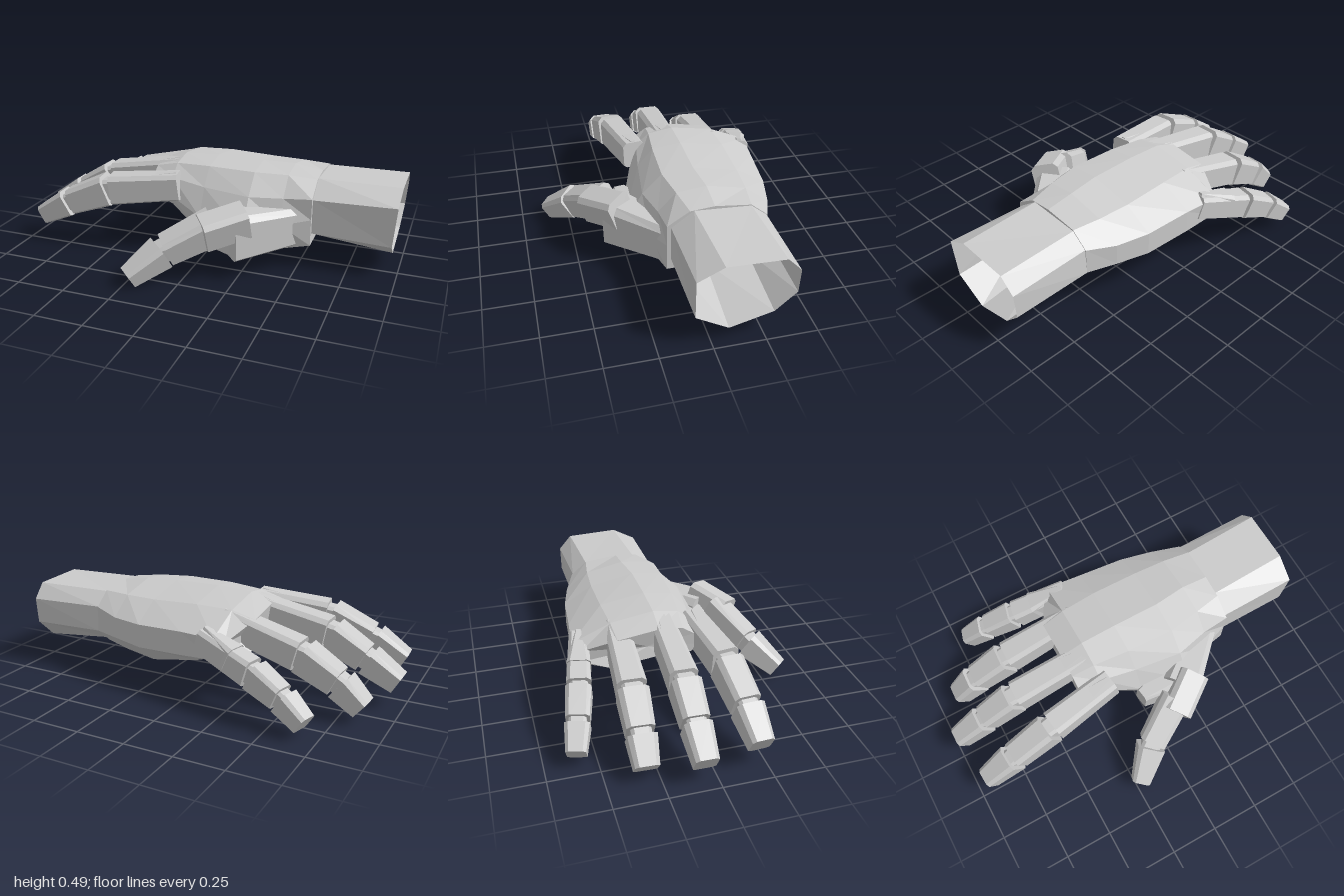
import * as THREE from 'three';

const V = (p) => new THREE.Vector3(...p);

// Skin over a list of equal-length rings (counter-clockwise about their direction of travel)
function loft(name, rings, { capStart = true, capEnd = true, side = THREE.FrontSide } = {}) {
  const pos = [];
  const tri = (...pts) => pts.forEach((p) => pos.push(p.x, p.y, p.z));
  const n = rings[0].length;
  for (let r = 0; r < rings.length - 1; r++) {
    const a = rings[r], b = rings[r + 1];
    for (let i = 0; i < n; i++) {
      const j = (i + 1) % n;
      tri(a[i], a[j], b[j]);
      tri(a[i], b[j], b[i]);
    }
  }
  const cap = (ring, flip) => {
    const c = ring.reduce((s, p) => s.add(p), new THREE.Vector3()).divideScalar(n);
    ring.forEach((p, i) => {
      const q = ring[(i + 1) % n];
      flip ? tri(c, q, p) : tri(c, p, q);
    });
  };
  if (capStart) cap(rings[0], true);
  if (capEnd) cap(rings[rings.length - 1], false);
  const geo = new THREE.BufferGeometry();
  geo.setAttribute('position', new THREE.Float32BufferAttribute(pos, 3));
  geo.computeVertexNormals();
  const mesh = new THREE.Mesh(geo, new THREE.MeshStandardMaterial({ color: 0xcccccc, flatShading: true, side }));
  mesh.name = name;
  return mesh;
}

// Tapered block from a to b; sizes are [width, height] at each end
function block(name, a, b, sizeA, sizeB, roll = 0) {
  const dir = b.clone().sub(a).normalize();
  const s = new THREE.Vector3(0, 1, 0).cross(dir).normalize().applyAxisAngle(dir, roll);
  const u = dir.clone().cross(s);
  const ring = (c, [w, h]) =>
    [[0.5, -0.42], [0.5, 0.36], [0.34, 0.5], [-0.34, 0.5], [-0.5, 0.36], [-0.5, -0.42], [-0.36, -0.5], [0.36, -0.5]].map(([x, y]) =>
      c.clone().addScaledVector(s, x * w).addScaledVector(u, y * h));
  return loft(name, [ring(a, sizeA), ring(b, sizeB)]);
}

// Chain of blocks with narrow cores in the joint gaps
function digit(name, points, sizes, roll = 0) {
  const g = new THREE.Group();
  g.name = name;
  const pts = points.map(V);
  for (let i = 0; i < pts.length - 1; i++) {
    const dir = pts[i + 1].clone().sub(pts[i]).normalize();
    const last = i === pts.length - 2;
    const a = pts[i].clone().addScaledVector(dir, i ? 0.012 : 0);
    const b = pts[i + 1].clone().addScaledVector(dir, last ? 0 : -0.012);
    const end = sizes[i + 1].map((v) => v * 0.95);
    g.add(block('phalanx', a, b, sizes[i], end, roll));
    if (!last) {
      const c = pts[i + 1];
      g.add(block('joint', c.clone().addScaledVector(dir, -0.04), c.clone().addScaledVector(dir, 0.04),
        end.map((v) => v * 0.75), end.map((v) => v * 0.7), roll));
    }
  }
  return g;
}

const section = (x, zy) => zy.map(([z, y]) => new THREE.Vector3(x, y, z));

export function createModel() {
  const hand = new THREE.Group();
  hand.name = 'hand';

  // Open wrist sleeve
  const wrist = [
    section(0.98, [[0.085, 0.41], [-0.04, 0.475], [-0.32, 0.465], [-0.39, 0.39], [-0.39, 0.26], [-0.29, 0.16], [-0.08, 0.10], [0.08, 0.2]]),
    section(0.57, [[0.09, 0.40], [-0.02, 0.48], [-0.3, 0.465], [-0.38, 0.40], [-0.39, 0.27], [-0.29, 0.2], [-0.08, 0.17], [0.09, 0.22]]),
    section(0.5, [[0.09, 0.40], [-0.02, 0.48], [-0.3, 0.465], [-0.38, 0.40], [-0.39, 0.27], [-0.29, 0.2], [-0.08, 0.17], [0.09, 0.22]]),
  ];
  wrist[0].forEach((p) => { p.x = 0.96 + (p.y - 0.1) * 0.07; });
  hand.add(loft('wrist', wrist, { capStart: false, capEnd: false, side: THREE.DoubleSide }));

  // Palm, from the heel to the knuckles
  const palm = [
    section(0.565, [[0.11, 0.3], [0.11, 0.41], [0.0, 0.48], [-0.12, 0.49], [-0.3, 0.47], [-0.385, 0.4], [-0.39, 0.27], [-0.3, 0.19], [-0.1, 0.165], [0.11, 0.16]]),
    section(0.42, [[0.16, 0.27], [0.12, 0.4], [0.03, 0.495], [-0.12, 0.512], [-0.32, 0.47], [-0.44, 0.38], [-0.44, 0.27], [-0.33, 0.17], [-0.1, 0.14], [0.13, 0.13]]),
    section(0.25, [[0.26, 0.24], [0.16, 0.4], [0.06, 0.5], [-0.1, 0.517], [-0.33, 0.47], [-0.48, 0.38], [-0.48, 0.26], [-0.35, 0.15], [-0.1, 0.14], [0.2, 0.1]]),
    section(0, [[0.2, 0.27], [0.13, 0.41], [0.05, 0.5], [-0.1, 0.52], [-0.33, 0.48], [-0.5, 0.39], [-0.5, 0.27], [-0.35, 0.19], [-0.1, 0.2], [0.17, 0.16]]),
    section(-0.19, [[0.13, 0.34], [0.1, 0.43], [0.03, 0.49], [-0.1, 0.51], [-0.32, 0.475], [-0.52, 0.39], [-0.51, 0.28], [-0.36, 0.25], [-0.1, 0.28], [0.1, 0.28]]),
    section(-0.31, [[0.09, 0.36], [0.08, 0.42], [0.02, 0.46], [-0.1, 0.47], [-0.31, 0.44], [-0.48, 0.36], [-0.48, 0.3], [-0.35, 0.29], [-0.1, 0.32], [0.07, 0.32]]),
  ];
  palm[5].forEach((p) => { if (p.z < -0.4) p.x += 0.08; });
  hand.add(loft('palm', palm));

  // Fingers: joint positions and [width, height] at each joint
  const fingers = {
    indexFinger: [[[-0.14, 0.40, 0.12], [-0.52, 0.355, 0.175], [-0.755, 0.26, 0.195], [-0.925, 0.165, 0.205]],
      [[0.12, 0.14], [0.145, 0.165], [0.14, 0.145], [0.115, 0.11]]],
    middleFinger: [[[-0.16, 0.43, -0.06], [-0.61, 0.345, -0.065], [-0.8, 0.245, -0.068], [-0.965, 0.15, -0.07]],
      [[0.12, 0.14], [0.145, 0.16], [0.135, 0.14], [0.115, 0.11]]],
    ringFinger: [[[-0.14, 0.41, -0.285], [-0.55, 0.3, -0.3], [-0.745, 0.2, -0.31], [-0.865, 0.1, -0.315]],
      [[0.12, 0.14], [0.15, 0.16], [0.14, 0.14], [0.12, 0.11]]],
    littleFinger: [[[-0.1, 0.36, -0.465], [-0.4, 0.26, -0.525], [-0.565, 0.185, -0.565], [-0.685, 0.1, -0.598]],
      [[0.1, 0.12], [0.125, 0.14], [0.12, 0.12], [0.1, 0.1]]],
  };
  for (const [name, [points, sizes]] of Object.entries(fingers)) {
    hand.add(digit(name, points, sizes));
    // Tendon ridge rising into the knuckle
    const k = V(points[0]);
    const out = V(points[1]).sub(k).normalize();
    hand.add(block('knuckle', k.clone().addScaledVector(out, 0.01).add(V([0, 0.035, 0])),
      k.clone().addScaledVector(out, 0.2).add(V([0, 0.012, 0])), [0.03, 0.08], [0.12, 0.12]));
  }

  // Thumb mound, metacarpal block and two outer segments
  hand.add(block('thumbMound', V([0.46, 0.25, 0.06]), V([0.19, 0.24, 0.29]), [0.14, 0.2], [0.2, 0.24]));
  hand.add(block('thumbWeb', V([0.2, 0.22, 0.2]), V([-0.02, 0.23, 0.23]), [0.2, 0.22], [0.08, 0.12]));
  hand.add(block('thumbBase', V([0.27, 0.33, 0.27]), V([0.09, 0.28, 0.4]), [0.15, 0.16], [0.15, 0.16], -0.25));
  hand.add(digit('thumb', [[0.13, 0.3, 0.33], [-0.09, 0.185, 0.465], [-0.225, 0.075, 0.595]],
    [[0.15, 0.17], [0.145, 0.145], [0.1, 0.1]], -0.25));

  return hand;
}
